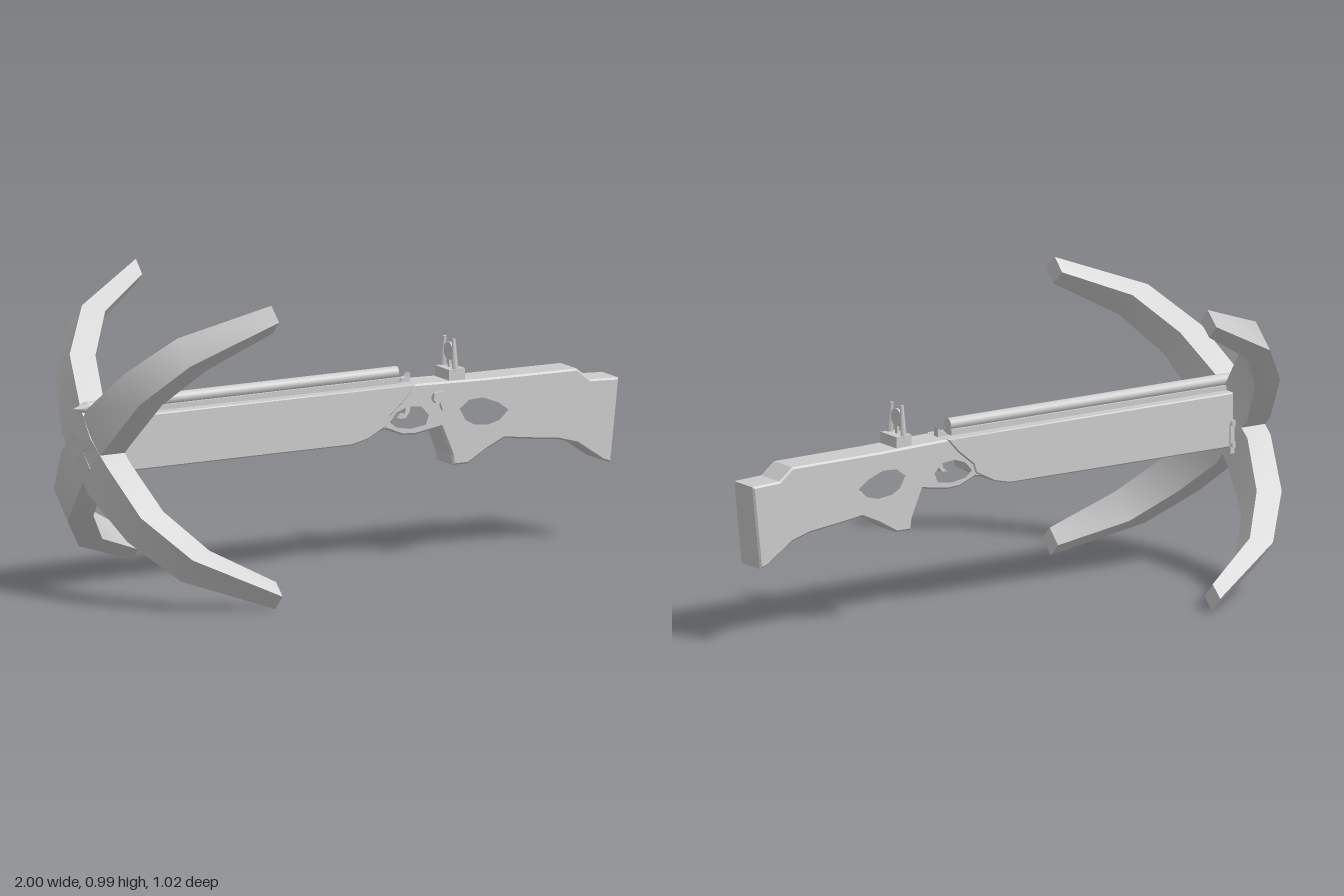
import * as THREE from 'three';
import { toCreasedNormals } from 'three/addons/utils/BufferGeometryUtils.js';

const material = new THREE.MeshStandardMaterial({ color: 0xcccccc });

function add(parent, name, geometry, x = 0, y = 0, z = 0) {
  const mesh = new THREE.Mesh(geometry, material);
  mesh.name = name;
  mesh.position.set(x, y, z);
  parent.add(mesh);
  return mesh;
}

const toPoints = (list) => list.map(([x, y]) => new THREE.Vector2(x, y));

// Side outline extruded symmetrically about z = 0, with a small chamfer
function plate(outline, halfWidth, chamfer = 0, holes = []) {
  const shape = new THREE.Shape(toPoints(outline));
  holes.forEach((h) => shape.holes.push(new THREE.Path(toPoints(h))));
  const depth = 2 * (halfWidth - chamfer);
  const geometry = new THREE.ExtrudeGeometry(shape, {
    depth, bevelEnabled: chamfer > 0, bevelSize: chamfer, bevelOffset: -chamfer,
    bevelThickness: chamfer, bevelSegments: 1,
  });
  return geometry.translate(0, 0, -depth / 2);
}

// Limb stations: outer x, outer radius, inner x, inner radius, half width
const limbStations = [
  [-0.965, 0.0, -0.87, 0.0, 0.07],
  [-0.96, 0.12, -0.87, 0.12, 0.08],
  [-0.91, 0.325, -0.82, 0.31, 0.064],
  [-0.79, 0.505, -0.715, 0.475, 0.057],
  [-0.515, 0.668, -0.515, 0.609, 0.034],
];

// Rectangular sections swept outwards at an angle in the y-z plane
function limbGeometry(angle) {
  const s = Math.sin(angle), c = Math.cos(angle);
  const positions = [], index = [];
  for (const [ox, or, ix, ir, w] of limbStations) {
    for (const [x, r, t] of [[ox, or, w], [ox, or, -w], [ix, ir, -w], [ix, ir, w]]) {
      positions.push(x, 0.5 + r * s + t * c, r * c - t * s);
    }
  }
  const last = (limbStations.length - 1) * 4;
  for (let i = 0; i < last; i += 4) {
    for (let j = 0; j < 4; j++) {
      const a = i + j, b = i + (j + 1) % 4;
      index.push(a, b, b + 4, a, b + 4, a + 4);
    }
  }
  index.push(0, 2, 1, 0, 3, 2, last, last + 1, last + 2, last, last + 2, last + 3);
  const geometry = new THREE.BufferGeometry();
  geometry.setAttribute('position', new THREE.Float32BufferAttribute(positions, 3));
  geometry.setIndex(index);
  return toCreasedNormals(geometry, 0.6);
}

export function createModel() {
  const model = new THREE.Group();
  model.name = 'crossbow';

  // Stock with trigger guard and thumbhole openings
  const stockOutline = [
    [-0.1, 0.605], [0.25, 0.605], [0.5, 0.598], [0.84, 0.595], [0.89, 0.555],
    [0.995, 0.55], [0.99, 0.5], [0.965, 0.275], [0.935, 0.285], [0.84, 0.35],
    [0.77, 0.37], [0.64, 0.385], [0.57, 0.395], [0.51, 0.368], [0.435, 0.325],
    [0.38, 0.325], [0.375, 0.36], [0.335, 0.455], [0.24, 0.44], [0.19, 0.443],
    [0.13, 0.468], [0, 0.445], [-0.1, 0.44],
  ];
  const triggerHole = [
    [0.135, 0.49], [0.165, 0.525], [0.21, 0.541], [0.265, 0.535], [0.296, 0.5],
    [0.28, 0.463], [0.22, 0.455], [0.165, 0.465],
  ];
  const thumbHole = [
    [0.395, 0.51], [0.435, 0.54], [0.49, 0.543], [0.55, 0.52], [0.592, 0.488],
    [0.555, 0.452], [0.51, 0.44], [0.455, 0.446], [0.42, 0.465],
  ];
  add(model, 'stock', plate(stockOutline, 0.057, 0.006, [triggerHole, thumbHole]));
  const forestock = [
    [-0.87, 0.43], [0, 0.43], [0.06, 0.444], [0.13, 0.48], [0.14, 0.51],
    [0.2, 0.56], [0.24, 0.606], [-0.87, 0.61],
  ];
  add(model, 'forestock', plate(forestock, 0.063, 0.004));
  add(model, 'buttPlate', new THREE.BoxGeometry(0.02, 0.25, 0.1), 0.968, 0.415, 0).rotation.z = -0.11;

  // Four bow limbs in a cross
  const degrees = Math.PI / 180;
  [['upperLeftLimb', 46.4], ['upperRightLimb', 133.6], ['lowerRightLimb', 223.5], ['lowerLeftLimb', 316.5]]
    .forEach(([name, angle]) => add(model, name, limbGeometry(angle * degrees)));

  // Limb mount and its side brackets
  add(model, 'limbMount', new THREE.BoxGeometry(0.09, 0.15, 0.11), -0.9, 0.51, 0);
  for (const side of [1, -1]) {
    add(model, 'sideBracket', new THREE.BoxGeometry(0.035, 0.1, 0.012), -0.872, 0.46, side * 0.062);
    for (const y of [0.44, 0.51]) {
      const bolt = add(model, 'bracketBolt', new THREE.CylinderGeometry(0.012, 0.012, 0.02, 6), -0.868, y, side * 0.065);
      bolt.rotation.x = Math.PI / 2;
    }
  }

  // Rail, and the arrow lying on it
  add(model, 'rail', new THREE.BoxGeometry(1.12, 0.025, 0.045), -0.36, 0.613, 0);
  const shaft = add(model, 'arrowShaft', new THREE.CylinderGeometry(0.02, 0.02, 1.15, 12), -0.375, 0.64, 0);
  shaft.rotation.z = Math.PI / 2;
  const tip = add(model, 'arrowTip', new THREE.ConeGeometry(0.02, 0.05, 12), -0.975, 0.64, 0);
  tip.rotation.z = Math.PI / 2;

  // String catch, trigger and safety lever
  add(model, 'stringCatch', plate([[0.205, 0.6], [0.245, 0.6], [0.245, 0.635], [0.232, 0.622], [0.215, 0.618]], 0.012));
  add(model, 'trigger', plate([
    [0.215, 0.545], [0.25, 0.545], [0.243, 0.505], [0.228, 0.488], [0.208, 0.487],
    [0.226, 0.502], [0.228, 0.525],
  ], 0.012));
  const pivot = add(model, 'safetyPivot', new THREE.CylinderGeometry(0.02, 0.02, 0.018, 10), 0.318, 0.555, 0.064);
  pivot.rotation.x = Math.PI / 2;
  const lever = plate([[0.295, 0.55], [0.3, 0.572], [0.33, 0.575], [0.345, 0.515], [0.33, 0.513], [0.32, 0.54]], 0.006);
  add(model, 'safetyLever', lever, 0, 0, 0.07);

  // Rear sight: base, two tapered prongs and a round aperture disc
  const sight = new THREE.Group();
  sight.name = 'rearSight';
  model.add(sight);
  add(sight, 'sightBase', new THREE.BoxGeometry(0.06, 0.04, 0.09), 0.4, 0.617, 0);
  for (const side of [1, -1]) {
    const prong = add(sight, 'sightProng', new THREE.CylinderGeometry(0.007, 0.013, 0.105, 4), 0.397, 0.682, side * 0.034);
    prong.rotation.x = -side * 0.09;
  }
  const disc = add(sight, 'sightDisc', new THREE.CylinderGeometry(0.029, 0.029, 0.008, 20), 0.397, 0.69, 0);
  disc.rotation.z = Math.PI / 2;
  add(sight, 'sightStem', new THREE.BoxGeometry(0.008, 0.035, 0.012), 0.397, 0.65, 0);

  return model;
}
